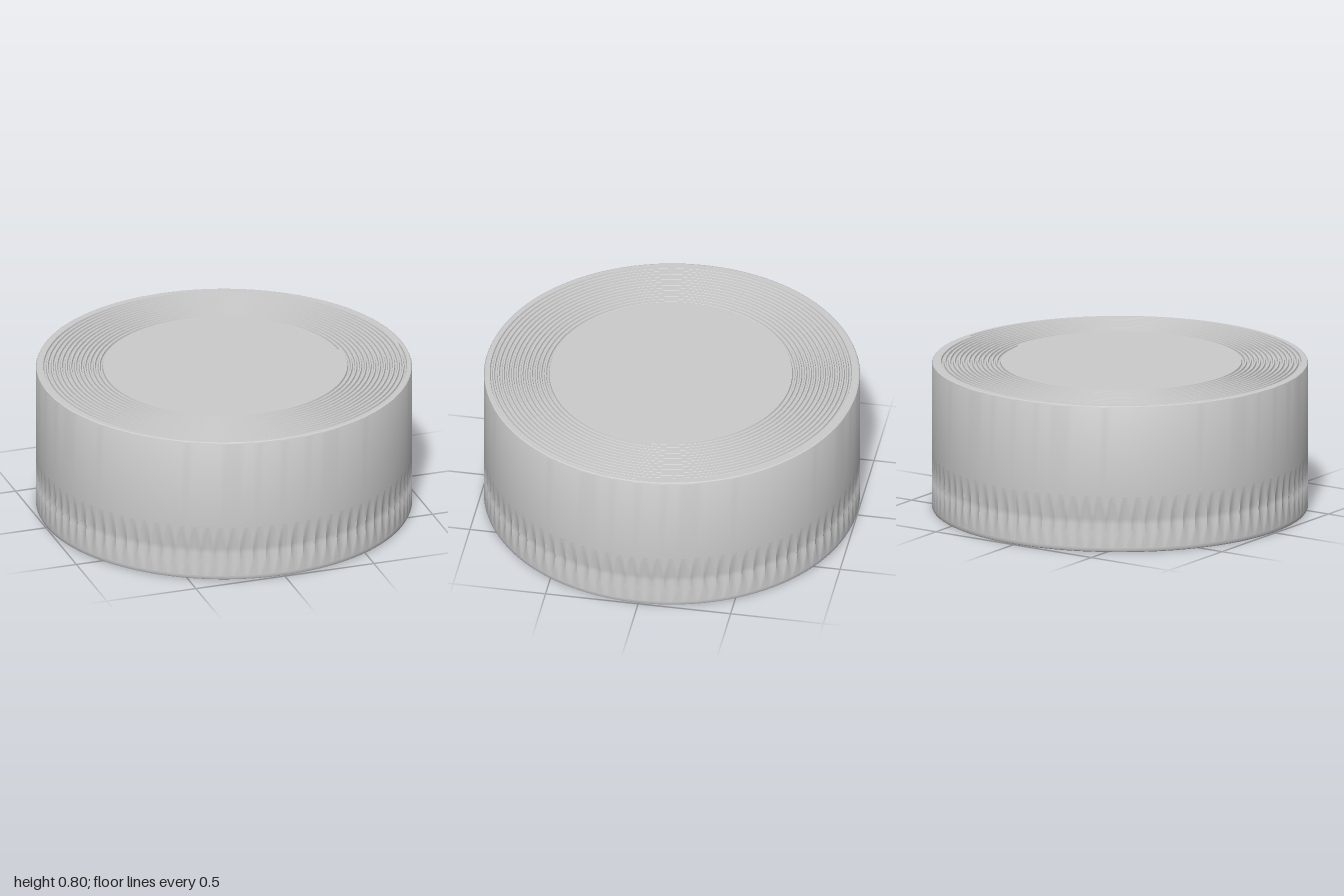
import * as THREE from 'three';
import { toCreasedNormals } from 'three/addons/utils/BufferGeometryUtils.js';

const material = new THREE.MeshStandardMaterial({ color: 0xcccccc });
const TAU = Math.PI * 2;
const HEIGHT = 0.8;

// Polar sheet: at(i, j) returns [angle, radius, y]; i runs round, j runs across.
function polarSheet(name, nu, nv, at) {
  const positions = [], index = [];
  for (let i = 0; i <= nu; i++) {
    for (let j = 0; j <= nv; j++) {
      const [a, r, y] = at(i, j);
      positions.push(r * Math.cos(a), y, -r * Math.sin(a));
    }
  }
  for (let i = 0; i < nu; i++) {
    for (let j = 0; j < nv; j++) {
      const a = i * (nv + 1) + j, b = a + nv + 1;
      index.push(a, a + 1, b, a + 1, b + 1, b);
    }
  }
  const geometry = new THREE.BufferGeometry();
  geometry.setAttribute('position', new THREE.Float32BufferAttribute(positions, 3));
  geometry.setIndex(index);
  const mesh = new THREE.Mesh(toCreasedNormals(geometry, 0.5), material);
  mesh.name = name;
  return mesh;
}

// Surface of revolution; the profile keeps the solid on its right-hand side.
function revolve(name, profile, segments = 128) {
  return polarSheet(name, segments, profile.length - 1,
    (i, j) => [i / segments * TAU, ...profile[j]]);
}

export function createModel() {
  const group = new THREE.Group();
  group.name = 'knob';

  // Plain upper wall with a small rounded top edge
  group.add(revolve('upperWall',
    [[0.99, HEIGHT], [0.997, 0.797], [1, 0.79], [1, 0.305]], 180));

  // Grip band: shallow flutes, deepest at mid height and fading to both ends
  const flutes = 90, perFlute = 8, rows = 18;
  const gripTop = 0.305, gripBottom = 0.025, depth = 0.014;
  const gripMid = (gripTop + gripBottom) / 2, halfGrip = (gripTop - gripBottom) / 2;
  group.add(polarSheet('gripBand', flutes * perFlute, rows, (i, j) => {
    const y = gripTop + (gripBottom - gripTop) * j / rows;
    const across = (i % perFlute) / perFlute * 2 - 1;
    const cut = depth * (1 - Math.abs(y - gripMid) / halfGrip - 0.85 * across * across);
    return [i / (flutes * perFlute) * TAU, 1 - Math.max(0, cut), y];
  }));

  // Bottom rim and hollow underside
  group.add(revolve('bottomRim',
    [[1, 0.025], [1, 0.012], [0.996, 0.004], [0.988, 0], [0.895, 0]], 180));
  group.add(revolve('cavity', [[0.895, 0], [0.895, 0.7], [0.22, 0.7]]));

  // Central post with a blind shaft hole
  group.add(revolve('shaftPost',
    [[0.22, 0.7], [0.22, 0], [0.06, 0], [0.06, 0.5], [0, 0.5]], 64));

  // Top face: flat disc, spiral groove and outer ring meeting along the spiral
  const start = 0.628, pitch = 0.025, turns = 13, perTurn = 160;
  const spiral = (i) => start + pitch * i / perTurn;
  group.add(polarSheet('topDisc', perTurn, 1,
    (i, j) => [i / perTurn * TAU, j * spiral(i), HEIGHT]));

  const section = [[0, 0], [0.16, 0], [0.26, 0.75], [0.4, 1], [0.6, 1], [0.74, 0.75], [0.84, 0], [1, 0]];
  const steps = turns * perTurn;
  group.add(polarSheet('spiralGroove', steps, section.length - 1, (i, j) => {
    const [s, d] = section[j];
    const sunk = i === 0 || i === steps ? 0 : 0.012;
    return [i / perTurn * TAU, spiral(i) + s * pitch, HEIGHT - d * sunk];
  }));

  group.add(polarSheet('topRing', perTurn, 1,
    (i, j) => [i / perTurn * TAU, j ? 0.9901 : spiral(i + steps), HEIGHT]));

  return group;
}
